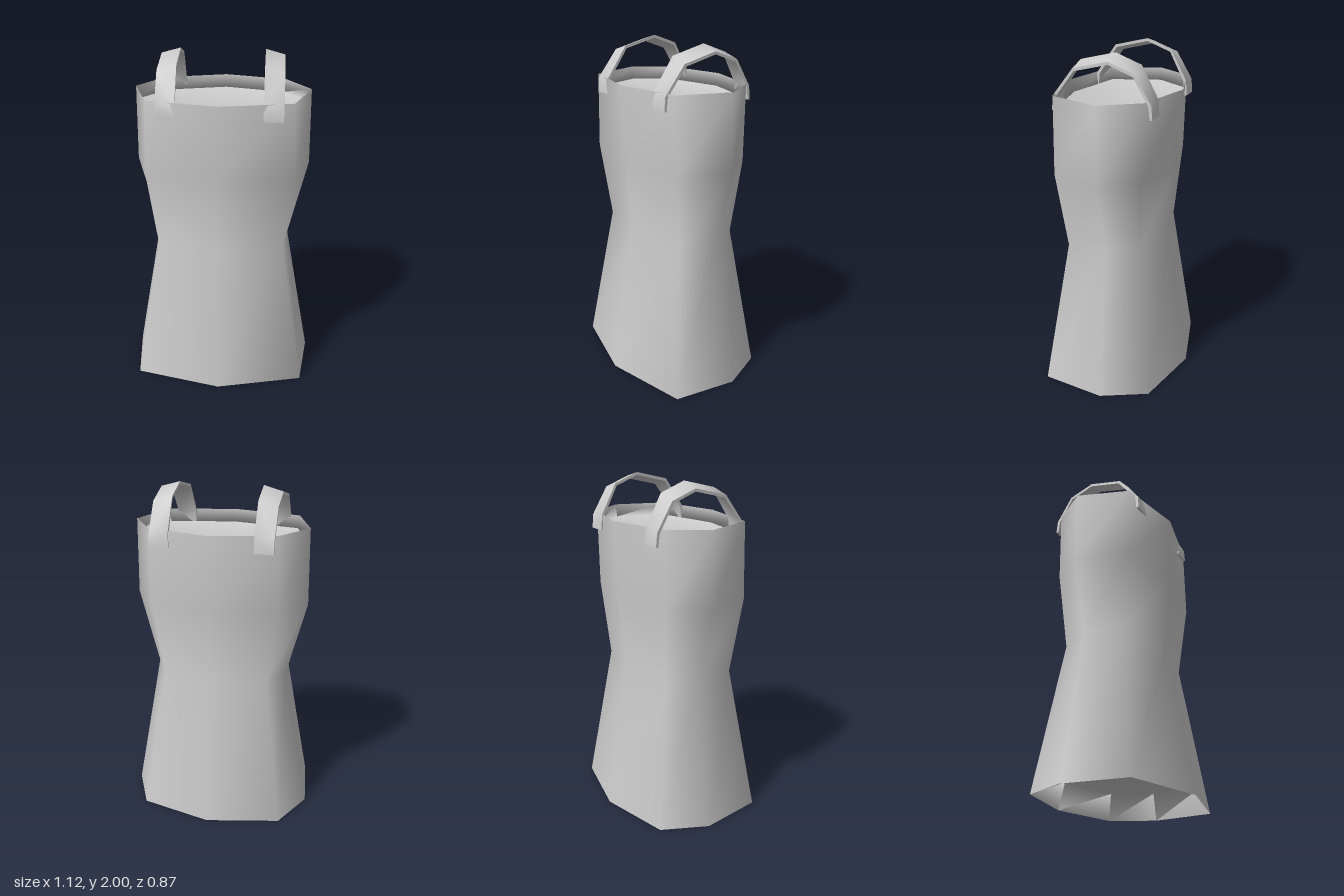
import * as THREE from 'three';
import { toCreasedNormals } from 'three/addons/utils/BufferGeometryUtils.js';

const material = new THREE.MeshStandardMaterial({ color: 0xcccccc, side: THREE.DoubleSide });

// Joins closed cross-section loops of equal length; ends may be capped by a centre point
function loft(loops) {
  const n = loops[0].length, pos = loops.flat(2), index = [];
  for (let r = 0; r < loops.length - 1; r++) {
    for (let i = 0; i < n; i++) {
      const j = (i + 1) % n, a = r * n + i, b = r * n + j;
      index.push(a, b, b + n, a, b + n, a + n);
    }
  }
  const cap = (r, flip) => {
    const c = pos.length / 3, mid = [0, 0, 0];
    loops[r].forEach(p => p.forEach((v, k) => { mid[k] += v / n; }));
    pos.push(...mid);
    for (let i = 0; i < n; i++) {
      const a = r * n + i, b = r * n + (i + 1) % n;
      index.push(c, flip ? b : a, flip ? a : b);
    }
  };
  cap(0, true);
  cap(loops.length - 1, false);
  const g = new THREE.BufferGeometry();
  g.setAttribute('position', new THREE.Float32BufferAttribute(pos, 3));
  g.setIndex(index);
  g.computeVertexNormals();
  return g;
}

// Eight-sided ring from its half outline: front, front corner, side, back corner, back
function ring(y, half) {
  const right = half.slice(1, -1).reverse().map(([x, z]) => [-x, z]);
  return [...half, ...right].map(([x, z]) => [x, y, z]);
}

function createDress() {
  const hem = [[0, 0.43], [0.51, 0.31], [0.56, -0.07], [0.43, -0.335], [0, -0.435]];
  const waist = [[0, 0.28], [0.37, 0.2], [0.4, -0.05], [0.31, -0.22], [0, -0.29]];
  const bust = [[0, 0.31], [0.42, 0.25], [0.515, -0.05], [0.37, -0.25], [0, -0.335]];
  const neck = [[0, 0.335], [0.405, 0.25], [0.508, -0.05], [0.365, -0.26], [0, -0.355]];
  // Inner lips lie just inside the wall, with a recessed panel closing each end
  const inset = (a, b, t, s) => a.map(([x, z], i) =>
    [s * THREE.MathUtils.lerp(x, b[i][0], t), s * THREE.MathUtils.lerp(z, b[i][1], t)]);
  const g = loft([
    ring(0.16, inset(hem, waist, 0.18, 0.97)),
    ring(0, hem),
    ring(0.88, waist),
    ring(1.33, bust),
    ring(1.775, neck),
    ring(1.7, inset(neck, bust, 0.17, 0.97)),
  ]);
  const mesh = new THREE.Mesh(g, material);
  mesh.name = 'dress';
  return mesh;
}

// Shoulder strap: thin band arching front to back, sloping down to the outside
function createStrap() {
  const path = [[0.285, 1.68], [0.28, 1.77], [0.155, 1.95], [-0.05, 2.0], [-0.2, 1.945], [-0.295, 1.77], [-0.303, 1.68]];
  const inner = [[0.27, 1.68], [0.263, 1.765], [0.147, 1.935], [-0.05, 1.983], [-0.192, 1.93], [-0.278, 1.765], [-0.288, 1.68]];
  const g = loft(path.map(([z, y], i) => {
    const [zi, yi] = inner[i];
    const drop = 0.03 * THREE.MathUtils.clamp((y - 1.68) / 0.27, 0, 1);
    return [[0.24, y, z], [0.35, y - drop, z], [0.35, yi - drop, zi], [0.24, yi, zi]];
  }));
  return toCreasedNormals(g, 1.1);
}

export function createModel() {
  const model = new THREE.Group();
  model.name = 'strappedDress';
  model.add(createDress());
  const strap = createStrap();
  for (const side of [1, -1]) {
    const mesh = new THREE.Mesh(strap, material);
    mesh.name = side > 0 ? 'leftStrap' : 'rightStrap';
    mesh.scale.x = side;
    model.add(mesh);
  }
  return model;
}
